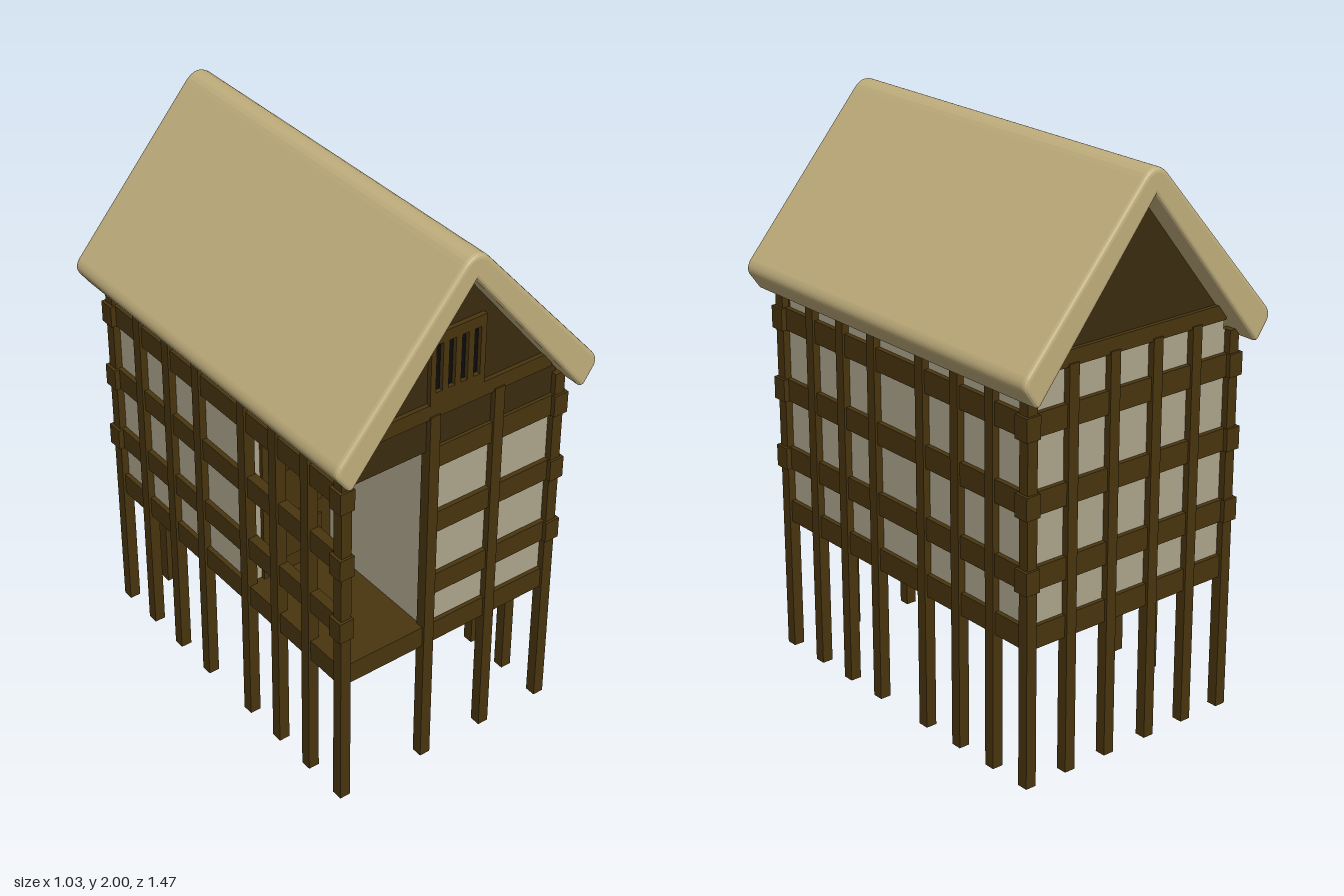
import * as THREE from 'three';

const mat = (color) => new THREE.MeshStandardMaterial({ color, roughness: 0.9 });

export function createModel() {
  const root = new THREE.Group();
  root.name = 'stiltHouse';
  const wood = mat(0x49350f), darkWood = mat(0x3b2b10), plaster = mat(0xada68c);
  const thatch = mat(0xc0ae7c), black = mat(0x0c0c0c);

  const group = (name) => {
    const g = new THREE.Group();
    g.name = name;
    root.add(g);
    return g;
  };
  const add = (parent, name, geo, material, x = 0, y = 0, z = 0) => {
    const m = new THREE.Mesh(geo, material);
    m.name = name;
    m.position.set(x, y, z);
    parent.add(m);
    return m;
  };
  // Box given by its extents on each axis
  const box = (parent, name, material, [x0, x1], [y0, y1], [z0, z1]) =>
    add(parent, name, new THREE.BoxGeometry(x1 - x0, y1 - y0, z1 - z0), material,
      (x0 + x1) / 2, (y0 + y1) / 2, (z0 + z1) / 2);

  // Floor platform
  box(root, 'floor', wood, [-0.437, 0.437], [0.49, 0.57], [-0.655, 0.655]);

  // Plaster walls, leaving the front corner porch open
  const walls = group('walls'), wallY = [0.57, 1.37];
  box(walls, 'sideWall', plaster, [0.395, 0.42], wallY, [-0.64, 0.64]);
  box(walls, 'sideWall', plaster, [-0.42, -0.395], wallY, [-0.64, 0.13]);
  box(walls, 'backWall', plaster, [-0.4, 0.4], [0.57, 1.42], [-0.64, -0.615]);
  box(walls, 'frontWall', plaster, [-0.1, 0.4], [0.57, 1.3], [0.615, 0.64]);
  box(walls, 'porchSideWall', plaster, [-0.1, -0.075], [0.57, 1.41], [0.11, 0.635]);
  box(walls, 'porchBackWall', plaster, [-0.4, -0.09], [0.57, 1.41], [0.105, 0.13]);
  box(walls, 'ceiling', darkWood, [-0.4, 0.4], [1.39, 1.41], [-0.62, 0.62]);

  // Posts running from the ground to the eaves
  const posts = group('posts');
  const post = (x, z, top) =>
    box(posts, 'post', wood, [x - 0.02, x + 0.02], [0, top], [z - 0.02, z + 0.02]);
  for (const s of [-1, 1]) {
    for (const z of [0.645, 0.47, 0.3, 0.128, -0.128, -0.305, -0.478, -0.645]) post(s * 0.426, z, 1.37);
    for (const x of [0.26, 0.09]) post(s * x, -0.645, 1.42);
  }
  post(-0.085, 0.645, 1.42);
  post(0.173, 0.645, 1.42);

  // Horizontal bands with collars around the corner posts
  const bands = group('bands');
  for (const y of [0.735, 0.99, 1.25]) {
    const h = [y - 0.04, y + 0.04];
    for (const s of [-1, 1]) {
      const x = s * 0.42;
      box(bands, 'sideBand', wood, [x - 0.018, x + 0.018], h, [-0.645, 0.645]);
      for (const z of [-0.645, 0.645])
        box(bands, 'collar', wood, [s * 0.429 - 0.028, s * 0.429 + 0.028], h, [z - 0.029, z + 0.029]);
    }
    box(bands, 'backBand', wood, [-0.42, 0.42], h, [-0.657, -0.62]);
    box(bands, 'frontBand', wood, [-0.1, 0.42], h, [0.62, 0.657]);
  }

  // Boards above the front wall and porch, and the tie beams
  box(root, 'frontBoards', darkWood, [-0.42, 0.42], [1.28, 1.42], [0.615, 0.645]);
  for (const z of [-0.643, 0.643])
    box(root, 'tieBeam', wood, [-0.39, 0.39], [1.41, 1.465], [z - 0.017, z + 0.017]);

  // Gable triangles
  const tri = new THREE.Shape([[-0.42, 1.41], [0.42, 1.41], [0, 1.94]].map((p) => new THREE.Vector2(...p)));
  const gable = new THREE.ExtrudeGeometry(tri, { depth: 0.03, bevelEnabled: false });
  add(root, 'frontGable', gable, darkWood, 0, 0, 0.615);
  add(root, 'backGable', gable, darkWood, 0, 0, -0.645);

  // Slatted vent in the front gable
  const vent = group('gableVent');
  const rect = (path, x0, x1, y0, y1) =>
    path.moveTo(x0, y0).lineTo(x1, y0).lineTo(x1, y1).lineTo(x0, y1).closePath();
  const frame = new THREE.Shape();
  rect(frame, -0.107, 0.107, 1.46, 1.72);
  for (let i = 0; i < 4; i++) {
    const x = -0.074 + i * 0.0493, hole = new THREE.Path();
    rect(hole, x - 0.013, x + 0.013, 1.505, 1.68);
    frame.holes.push(hole);
  }
  add(vent, 'ventFrame', new THREE.ExtrudeGeometry(frame, { depth: 0.017, bevelEnabled: false }), wood, 0, 0, 0.645);
  box(vent, 'ventBacking', black, [-0.1, 0.1], [1.49, 1.7], [0.64, 0.647]);

  // Panelled door in the porch
  const door = group('door');
  box(door, 'doorSlab', wood, [-0.375, -0.1], [0.57, 1.23], [0.125, 0.145]);
  for (const [y0, y1] of [[0.63, 0.75], [0.81, 0.99], [1.05, 1.175]])
    box(door, 'doorPanel', wood, [-0.335, -0.142], [y0, y1], [0.14, 0.152]);
  const stem = add(door, 'knobStem', new THREE.CylinderGeometry(0.012, 0.012, 0.04, 12), darkWood, -0.333, 0.87, 0.16);
  stem.rotation.x = Math.PI / 2;
  add(door, 'knob', new THREE.SphereGeometry(0.026, 20, 14), darkWood, -0.333, 0.87, 0.185);

  // Thick thatched roof with rounded ridge and eaves
  const roof = new THREE.Shape();
  roof.moveTo(0, 1.91).lineTo(-0.45, 1.345);
  roof.quadraticCurveTo(-0.462, 1.335, -0.474, 1.35);
  roof.lineTo(-0.508, 1.398);
  roof.quadraticCurveTo(-0.523, 1.422, -0.503, 1.45);
  roof.lineTo(-0.05, 1.973);
  roof.bezierCurveTo(-0.02, 2.009, 0.02, 2.009, 0.05, 1.973);
  roof.lineTo(0.503, 1.45);
  roof.quadraticCurveTo(0.523, 1.422, 0.508, 1.398);
  roof.lineTo(0.474, 1.35);
  roof.quadraticCurveTo(0.462, 1.335, 0.45, 1.345);
  roof.closePath();
  const bevel = 0.015;
  const roofGeo = new THREE.ExtrudeGeometry(roof, {
    depth: 1.466 - 2 * bevel, curveSegments: 8,
    bevelThickness: bevel, bevelSize: bevel, bevelOffset: -bevel, bevelSegments: 3,
  });
  add(root, 'thatchedRoof', roofGeo, thatch, 0, 0, -0.733 + bevel);

  return root;
}
